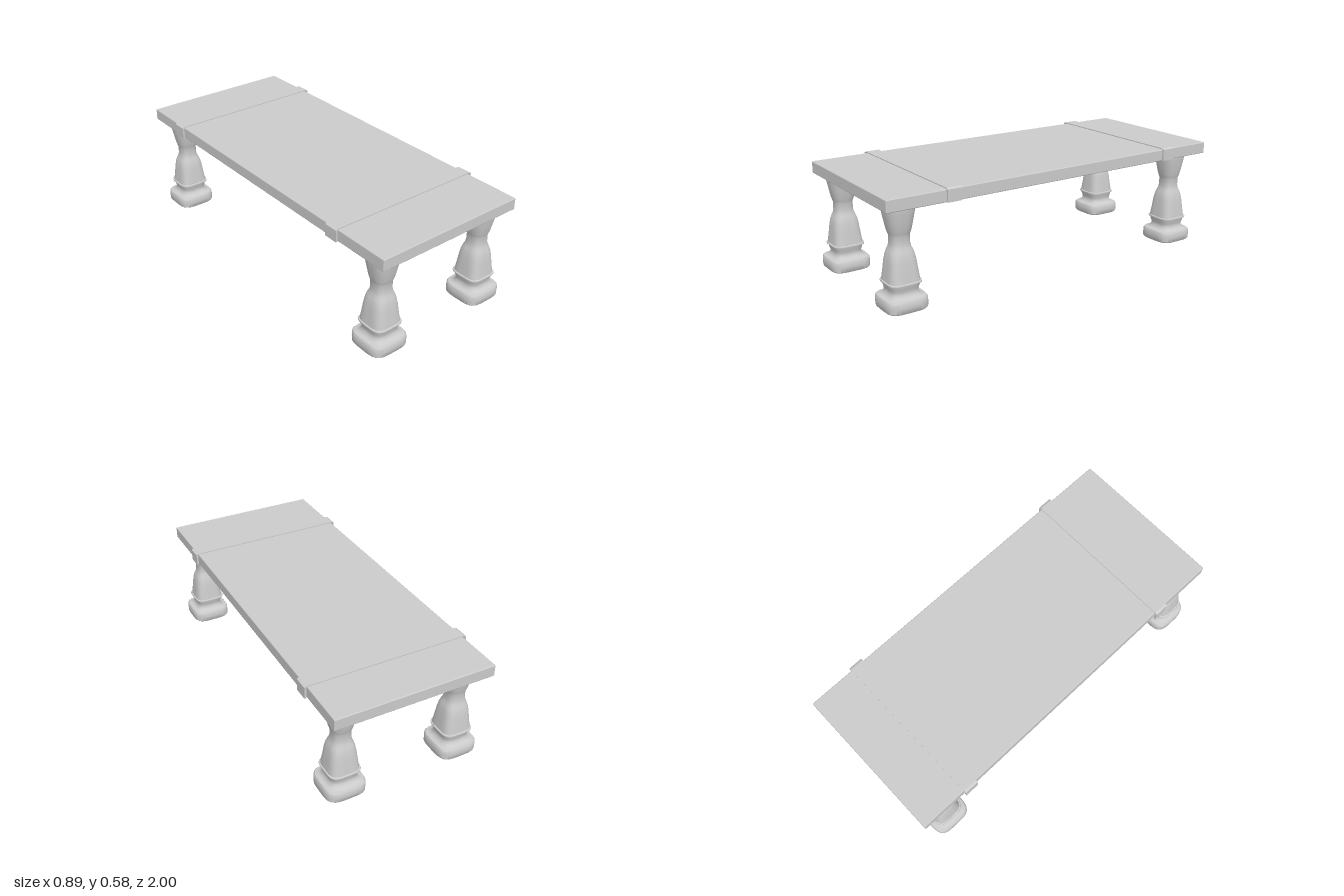
import * as THREE from 'three';
import { RoundedBoxGeometry } from 'three/addons/geometries/RoundedBoxGeometry.js';
import { mergeVertices, toCreasedNormals } from 'three/addons/utils/BufferGeometryUtils.js';

const material = new THREE.MeshStandardMaterial({ color: 0xcccccc });

// Turned leg: half-width, height, squareness of the section (2 is a circle)
const LEG = [
  [0, 0, 4], [0.103, 0, 4], [0.108, 0.006, 4], [0.109, 0.03, 4], [0.108, 0.055, 4], [0.103, 0.062, 4],
  [0.086, 0.064, 4], [0.077, 0.073, 4], [0.071, 0.085, 4], [0.071, 0.097, 4], [0.076, 0.112, 4],
  [0.079, 0.127, 4], [0.086, 0.129, 4], [0.087, 0.132, 4], [0.086, 0.136, 4], [0.08, 0.138, 4],
  [0.074, 0.19, 3.6], [0.069, 0.235, 3.4], [0.064, 0.265, 3.2], [0.058, 0.285, 3], [0.051, 0.302, 2.8],
  [0.048, 0.32, 2.6], [0.048, 0.36, 2.5], [0.052, 0.372, 2.5], [0.057, 0.388, 2.5],
  [0.065, 0.43, 2.6], [0.072, 0.47, 2.7], [0.076, 0.505, 2.8], [0.076, 0.51, 2.8], [0, 0.51, 2.8],
];

function legGeometry() {
  const geo = new THREE.LatheGeometry(LEG.map(([r, y]) => new THREE.Vector2(r, y)), 48);
  const pos = geo.attributes.position;
  // Push each ring out from a circle to a rounded square
  for (let i = 0; i < pos.count; i++) {
    const [r, y, n] = LEG[i % LEG.length];
    if (r === 0) continue;
    const c = Math.abs(pos.getX(i) / r), s = Math.abs(pos.getZ(i) / r);
    const k = (c ** n + s ** n) ** (-1 / n);
    pos.setXYZ(i, pos.getX(i) * k, y, pos.getZ(i) * k);
  }
  geo.deleteAttribute('normal');
  geo.deleteAttribute('uv');
  return toCreasedNormals(mergeVertices(geo, 1e-5), 0.7);
}

// Thin band bent over the top, with chamfered shoulders
function strapGeometry(width) {
  const outer = [[0.443, 0.51], [0.443, 0.572], [0.43, 0.579]];
  const inner = [[0.428, 0.574], [0.433, 0.57], [0.433, 0.51]];
  const mirror = (pts) => pts.map(([x, y]) => [-x, y]).reverse();
  const loop = [...outer, ...mirror(outer), ...mirror(inner), ...inner];
  const shape = new THREE.Shape(loop.map(([x, y]) => new THREE.Vector2(x, y)));
  return new THREE.ExtrudeGeometry(shape, { depth: width, bevelEnabled: false }).translate(0, 0, -width / 2);
}

export function createModel() {
  const group = new THREE.Group();
  const add = (name, geo, x, y, z) => {
    const mesh = new THREE.Mesh(geo, material);
    mesh.name = name;
    mesh.position.set(x, y, z);
    group.add(mesh);
  };

  // Slab
  add('tableTop', new RoundedBoxGeometry(0.856, 0.063, 2, 2, 0.005), 0, 0.539, 0);

  // Straps
  const strap = strapGeometry(0.078);
  add('frontStrap', strap, 0, 0, 0.655);
  add('backStrap', strap, 0, 0, -0.705);

  // Legs
  const leg = legGeometry();
  for (const [end, z] of [['front', 0.885], ['back', -0.847]])
    for (const [side, x] of [['Left', 0.311], ['Right', -0.328]])
      add(`${end}${side}Leg`, leg, x, 0, z);

  return group;
}
